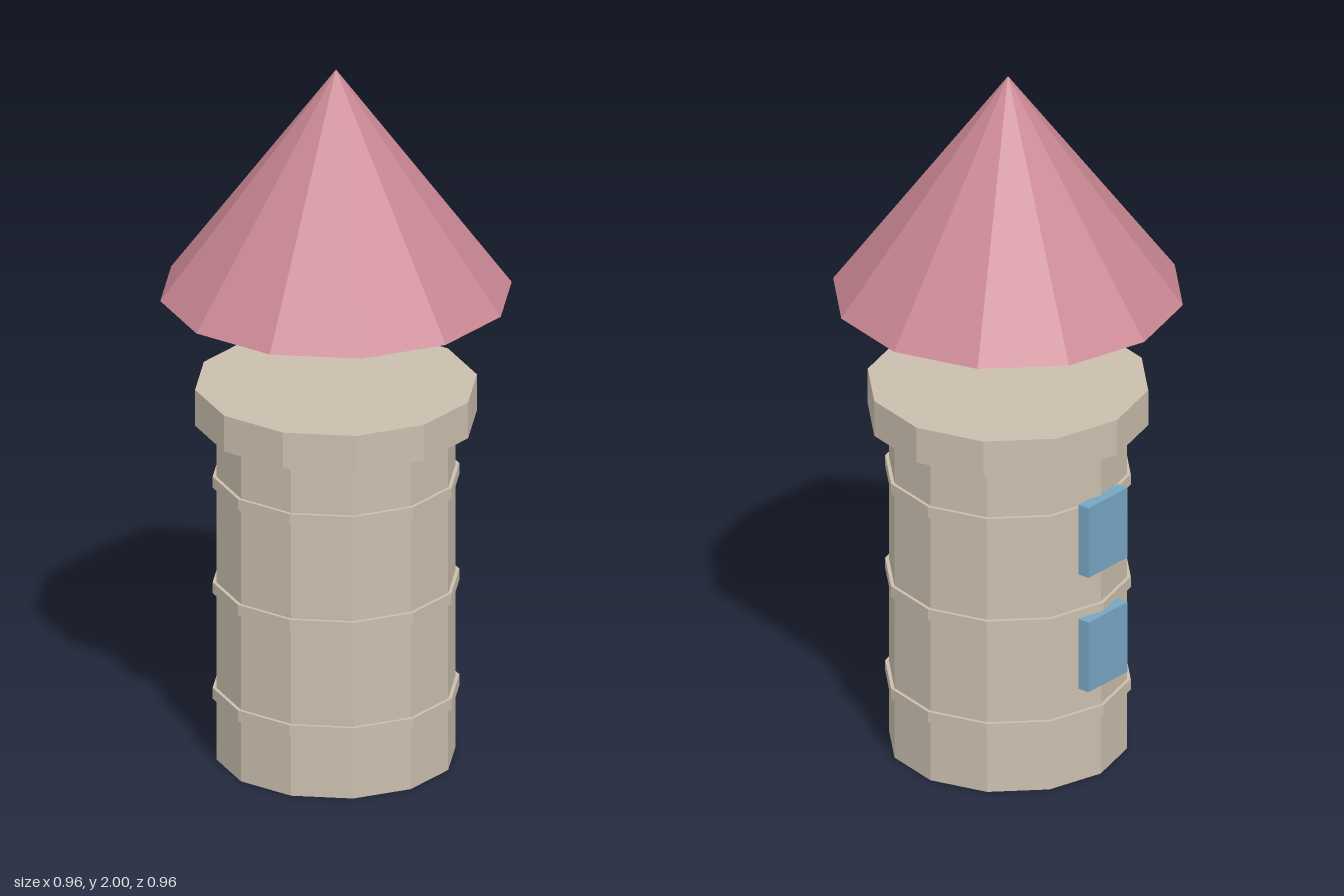
import * as THREE from 'three';

const SIDES = 12;

export function createModel() {
  const model = new THREE.Group();
  model.name = 'tower';

  const makeMaterial = (name, color) => {
    const m = new THREE.MeshStandardMaterial({ color, flatShading: true });
    m.name = name;
    return m;
  };
  const stone = makeMaterial('stone', 0xcabfae);
  const roofPink = makeMaterial('roof pink', 0xca8894);
  const windowBlue = makeMaterial('window blue', 0x76a5c2);

  const add = (name, geometry, material, x, y, z) => {
    const mesh = new THREE.Mesh(geometry, material);
    mesh.name = name;
    mesh.position.set(x, y, z);
    model.add(mesh);
    return mesh;
  };
  // Twelve-sided drum standing between two heights
  const drum = (name, radius, y0, y1) =>
    add(name, new THREE.CylinderGeometry(radius, radius, y1 - y0, SIDES), stone, 0, (y0 + y1) / 2, 0);

  // Shaft and the wider collar on top
  drum('shaft', 0.327, 0, 0.98);
  drum('collar', 0.385, 0.98, 1.085);

  // Thin bands around the shaft
  [0.194, 0.503, 0.812].forEach((y, i) => drum('band' + (i + 1), 0.337, y - 0.016, y + 0.016));

  // Windows stacked on the back
  [0.389, 0.734].forEach((y, i) =>
    add('window' + (i + 1), new THREE.BoxGeometry(0.165, 0.21, 0.035), windowBlue, 0, y, -0.335));

  // Pointed roof hovering above the collar
  add('roof', new THREE.ConeGeometry(0.48, 0.65, SIDES), roofPink, 0, 1.675, 0);

  return model;
}
